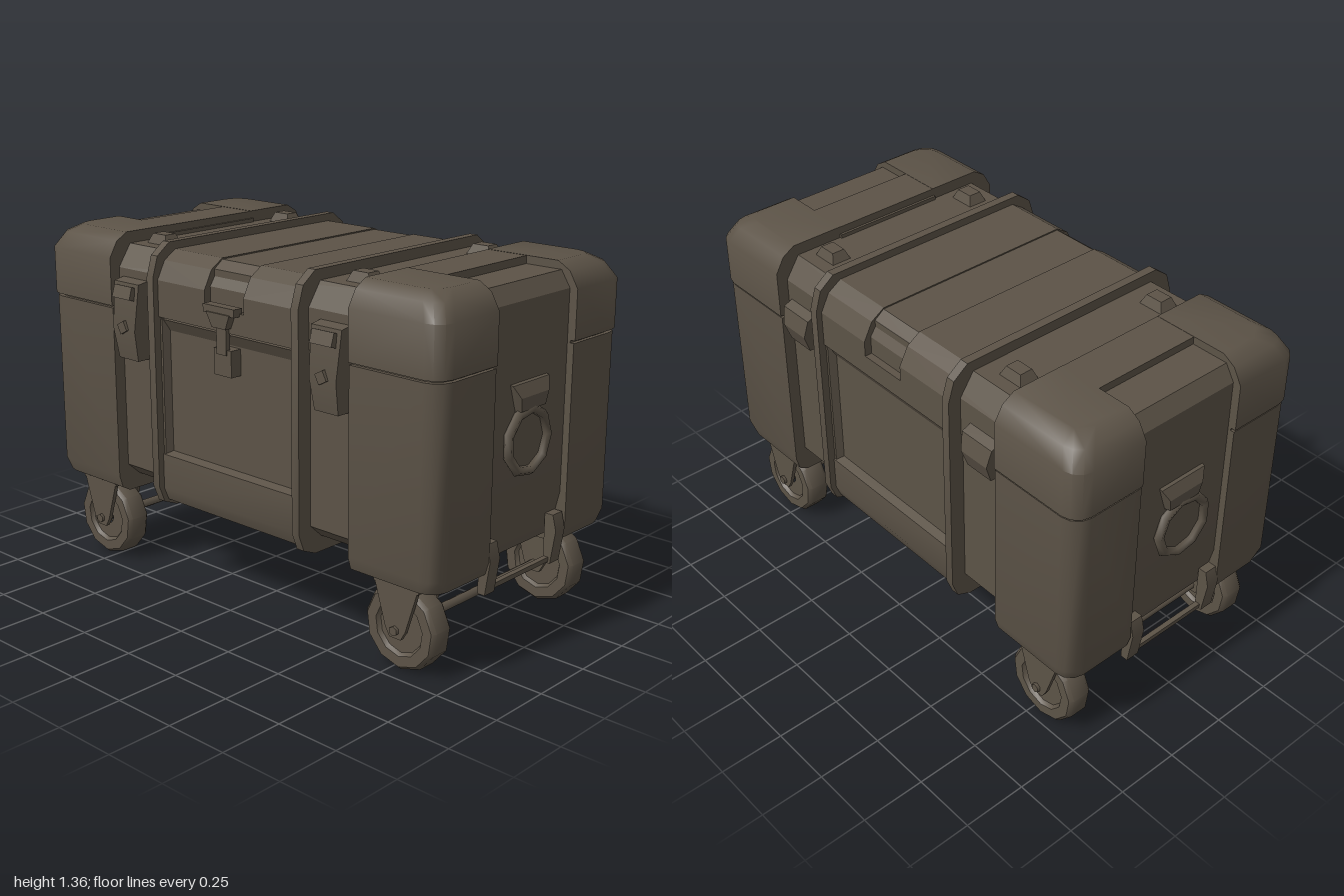
import * as THREE from 'three';
import { toCreasedNormals } from 'three/addons/utils/BufferGeometryUtils.js';
import { ConvexGeometry } from 'three/addons/geometries/ConvexGeometry.js';

export function createModel() {
  const model = new THREE.Group();
  model.name = 'wheeledCase';
  const paint = new THREE.MeshStandardMaterial({ color: 0x5c5347 });
  paint.name = 'olive brown';

  const add = (name, geo, x = 0, y = 0, z = 0, parent = body) => {
    const m = new THREE.Mesh(geo, paint);
    m.name = name;
    m.position.set(x, y, z);
    parent.add(m);
    return m;
  };
  const box = (name, w, h, d, x, y, z) => add(name, new THREE.BoxGeometry(w, h, d), x, y, z);
  // Convex solid from corner points, optionally mirrored in x and z
  const hull = (name, pts, sx = 1, sz = 1, crease = 0.4) => add(name, toCreasedNormals(
    new ConvexGeometry(pts.map(([x, y, z]) => new THREE.Vector3(x * sx, y, z * sz))), crease));
  // Points of a (z, y) profile swept between two x positions
  const sweep = (prof, x0, x1) => prof.flatMap(([z, y]) => [[x0, y, z], [x1, y, z]]);
  const both = (prof) => [...prof, ...prof.map(([z, y]) => [-z, y])];

  const body = new THREE.Group();
  body.name = 'body';
  body.position.set(-0.005, 0, -0.012);
  model.add(body);

  // Rounded corner column: stacked plan loops, each [height, inset]
  const column = (levels) => levels.flatMap(([y, i]) => {
    const X = 1 - i, Z = 0.527 - i, r = 0.07, pts = [[0.61, y, 0.225], [X, y, 0.225], [0.61, y, Z]];
    for (let k = 0; k <= 3; k++) {
      const a = k * Math.PI / 6;
      pts.push([X - r + r * Math.cos(a), y, Z - r + r * Math.sin(a)]);
    }
    return pts;
  });
  const lower = column([[0.33, 0.055], [0.35, 0.02], [0.4, 0.005], [1.085, 0.005]]);
  const upper = column([[1.095, 0], [1.28, 0], [1.34, 0.035], [1.37, 0.085]]);
  const seam = column([[1.08, 0.02], [1.1, 0.02]]);

  // End blocks with a recessed channel over the top and down the end
  const slab = [[0.6, 0.37], [0.93, 0.37], [0.968, 0.53], [0.968, 1.28], [0.93, 1.34], [0.6, 1.34]];
  for (const s of [-1, 1]) {
    for (const t of [-1, 1]) {
      hull('cornerBase', lower, s, t, 0.7);
      hull('cornerSeam', seam, s, t);
      hull('cornerLid', upper, s, t, 0.7);
    }
    hull('endPanel', slab.flatMap(([x, y]) => [[x, y, -0.23], [x, y, 0.23]]), s);
    box('topStrip', 0.17, 0.1, 0.46, s * 0.695, 1.319, 0);
    box('innerStrip', 0.03, 0.05, 0.46, s * 0.625, 0.36, 0);
  }

  // Narrow waist behind the straps
  hull('waist', sweep(both([[0.42, 0.39], [0.475, 0.44], [0.475, 1.25], [0.42, 1.32]]), -0.62, 0.62));
  hull('waistLid', sweep(both([[0.483, 1.09], [0.483, 1.24], [0.425, 1.325]]), -0.62, 0.62));

  // Central body, its profile set back for the front and rear panels
  const half = [[0.44, 0.34], [0.49, 0.36], [0.51, 0.41], [0.51, 0.55], [0.455, 0.565],
    [0.455, 1.0], [0.5, 1.08]];
  const outline = [...half, ...half.slice().reverse().map(([z, y]) => [-z, y])];
  const core = new THREE.ExtrudeGeometry(
    new THREE.Shape(outline.map(([z, y]) => new THREE.Vector2(z, y))), { depth: 0.74, bevelEnabled: false });
  core.translate(0, 0, -0.37).rotateY(-Math.PI / 2);
  add('centreBody', toCreasedNormals(core, 0.5));
  for (const s of [-1, 1]) for (const t of [-1, 1]) {
    hull('panelFrame', [0.55, 1.08].flatMap((y) =>
      [[0.325, y, 0.45], [0.345, y, 0.505], [0.37, y, 0.505], [0.37, y, 0.45]]), s, t);
  }

  // Central lid, notched in the middle at front and rear
  const lid = both([[0.512, 1.09], [0.512, 1.23], [0.475, 1.3], [0.42, 1.335]]);
  hull('lidLeft', sweep(lid, 0.1, 0.37));
  hull('lidRight', sweep(lid, -0.37, -0.1));
  hull('lidMiddle', sweep(both([[0.512, 1.09], [0.512, 1.17]]), -0.1, 0.1));
  hull('lidNotch', sweep(both([[0.46, 1.16], [0.46, 1.3], [0.42, 1.33]]), -0.1, 0.1));

  // Straps around the case
  const strap = both([[0.45, 0.33], [0.51, 0.355], [0.535, 0.42], [0.535, 1.24], [0.51, 1.32], [0.45, 1.365]]);
  for (const s of [-1, 1]) hull('strap', sweep(strap, s * 0.355, s * 0.39));

  for (const s of [-1, 1]) {
    const x = s * 0.515;
    // Front latches: tapered lever with a raised clip
    hull('latchLever', [-1, 1].flatMap((k) => [[x + k * 0.07, 1.21, 0.47], [x + k * 0.07, 1.2, 0.53],
      [x + k * 0.055, 0.9, 0.47], [x + k * 0.055, 0.9, 0.53], [x + k * 0.062, 1.02, 0.55]]));
    box('latchClip', 0.1, 0.05, 0.05, x, 1.16, 0.53).rotation.x = -0.3;
    box('latchPin', 0.04, 0.04, 0.02, x, 1.03, 0.55).rotation.z = 0.5;
    // Rear hinges
    hull('hinge', [-1, 1].flatMap((k) => [[x + k * 0.075, 1.17, -0.47], [x + k * 0.075, 1.15, -0.52],
      [x + k * 0.065, 1.08, -0.535], [x + k * 0.06, 1.01, -0.51], [x + k * 0.06, 1.01, -0.47]]));
    // Stacking studs on top
    for (const t of [-1, 1]) {
      hull('stud', [-1, 1].flatMap((a) => [-1, 1].flatMap((b) => [
        [x + a * 0.06, 1.31, t * 0.333 + b * 0.046], [x + a * 0.035, 1.362, t * 0.333 + b * 0.026]])));
    }
  }

  // Centre clasp
  box('claspBar', 0.16, 0.03, 0.04, 0, 1.175, 0.52);
  hull('claspHook', [-1, 1].flatMap((k) => [[k * 0.06, 1.17, 0.5], [k * 0.06, 1.165, 0.545],
    [k * 0.035, 1.11, 0.54], [k * 0.035, 1.11, 0.5]]));
  box('claspTongue', 0.05, 0.12, 0.02, 0, 1.07, 0.518);
  box('claspPlate', 0.09, 0.1, 0.07, 0, 0.98, 0.488);

  // Ring handles and lower bumper bars on both ends
  for (const s of [-1, 1]) {
    hull('handleHinge', [-1, 1].flatMap((k) => [[0.96, 1.0, k * 0.105], [0.98, 0.995, k * 0.105],
      [1.0, 0.95, k * 0.08], [0.995, 0.9, k * 0.07], [0.96, 0.89, k * 0.07]]), s);
    add('handleRing', new THREE.TorusGeometry(0.115, 0.02, 5, 9).rotateY(Math.PI / 2), s * 0.98, 0.785, 0.012);
    add('handleDisc', new THREE.CylinderGeometry(0.11, 0.11, 0.01, 9).rotateZ(Math.PI / 2), s * 0.971, 0.785, 0.012);
    for (const z of [-0.19, 0.2]) {
      hull('bumperStrut', [-0.028, 0.028].flatMap((d) => [[0.95, 0.46, z + d], [0.985, 0.46, z + d],
        [1.0, 0.4, z + d], [0.98, 0.27, z + d], [0.95, 0.27, z + d]]), s);
    }
    box('bumperBar', 0.02, 0.018, 0.39, s * 0.962, 0.285, 0.005);
  }

  // Wheels on forks, joined by a long axle at each end
  const tyreProfile = [[0.03, -0.035], [0.095, -0.035], [0.105, -0.05], [0.145, -0.05], [0.158, -0.035],
    [0.158, 0.035], [0.145, 0.05], [0.105, 0.05], [0.095, 0.035], [0.03, 0.035]]
    .map(([r, h]) => new THREE.Vector2(r, h));
  const tyre = toCreasedNormals(new THREE.LatheGeometry(tyreProfile, 11).rotateX(Math.PI / 2), 0.7);
  for (const s of [-1, 1]) {
    const x = s * 0.79;
    add('axle', new THREE.CylinderGeometry(0.018, 0.018, 0.98, 6).rotateX(Math.PI / 2), x, 0.165, 0);
    for (const t of [-1, 1]) {
      add('wheel', tyre, x, 0.165, t * 0.408);
      for (const z of [0.345, 0.47]) {
        hull('fork', [z - 0.008, z + 0.008].flatMap((d) => [[0.69, 0.345, d], [0.89, 0.345, d],
          [0.835, 0.17, d], [0.815, 0.135, d], [0.765, 0.135, d], [0.745, 0.17, d]]), s, t);
      }
      box('forkMount', 0.2, 0.02, 0.14, x, 0.335, t * 0.408);
    }
  }
  return model;
}
